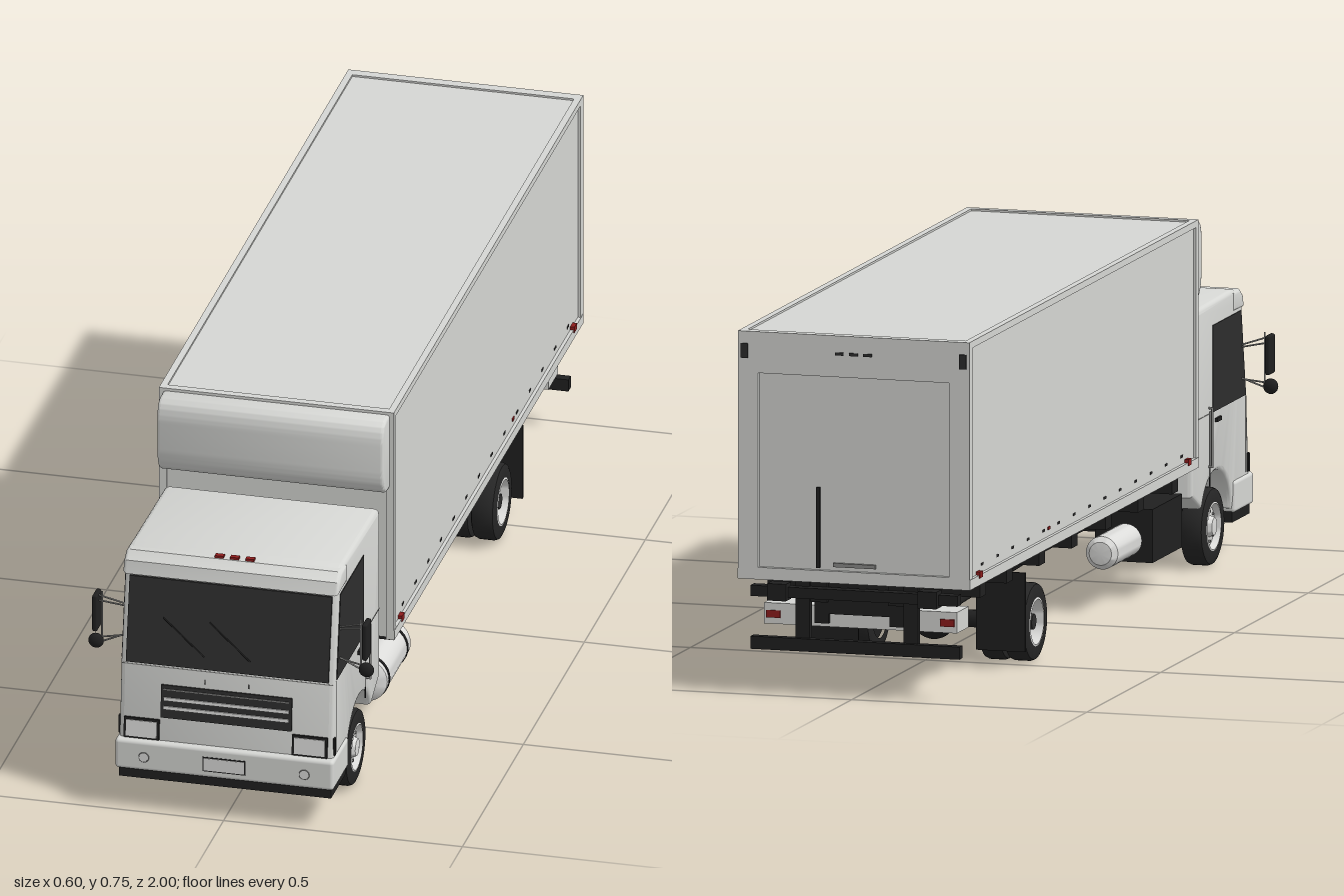
import * as THREE from 'three';
import { toCreasedNormals } from 'three/addons/utils/BufferGeometryUtils.js';
import { RoundedBoxGeometry } from 'three/addons/geometries/RoundedBoxGeometry.js';

const paint = (name, color) => {
  const m = new THREE.MeshStandardMaterial({ color });
  m.name = name;
  return m;
};

export function createModel() {
  const body = paint('body white', 0xd6d7d4);
  const metal = paint('bright metal', 0xdcdcda);
  const trim = paint('trim grey', 0x8c8c8a);
  const glass = paint('dark glass', 0x2d2d2d);
  const black = paint('chassis black', 0x202020);
  const rubber = paint('tyre rubber', 0x262626);
  const red = paint('marker red', 0x8e1c1c);

  const truck = new THREE.Group();
  truck.name = 'boxTruck';
  const group = (name, parent = truck) => {
    const g = new THREE.Group();
    g.name = name;
    parent.add(g);
    return g;
  };
  const add = (parent, name, geo, mat, x = 0, y = 0, z = 0) => {
    const m = new THREE.Mesh(geo, mat);
    m.name = name;
    m.position.set(x, y, z);
    parent.add(m);
    return m;
  };
  // Box given by its limits on each axis, optionally rounded
  const box = (parent, name, mat, x0, x1, y0, y1, z0, z1, r = 0) => {
    const s = [Math.abs(x1 - x0), y1 - y0, Math.abs(z1 - z0)];
    const geo = r ? new RoundedBoxGeometry(...s, 3, r) : new THREE.BoxGeometry(...s);
    return add(parent, name, geo, mat, (x0 + x1) / 2, (y0 + y1) / 2, (z0 + z1) / 2);
  };
  // Side profile drawn in (z, y), extruded across x
  const across = (shape, width, bevel = 0) => {
    const geo = new THREE.ExtrudeGeometry(shape, {
      depth: width - 2 * bevel, bevelEnabled: bevel > 0, bevelSize: bevel,
      bevelThickness: bevel, bevelOffset: -bevel, bevelSegments: 3, curveSegments: 16,
    });
    geo.translate(0, 0, bevel - width / 2);
    geo.rotateY(-Math.PI / 2);
    return toCreasedNormals(geo, 0.6);
  };
  const poly = (pts) => new THREE.Shape(pts.map((p) => new THREE.Vector2(...p)));
  const lathe = (pts, seg = 32) =>
    toCreasedNormals(new THREE.LatheGeometry(pts.map((p) => new THREE.Vector2(...p)), seg), 0.6);
  const rod = (parent, name, mat, a, b, r) => {
    const path = new THREE.LineCurve3(new THREE.Vector3(...a), new THREE.Vector3(...b));
    return add(parent, name, new THREE.TubeGeometry(path, 1, r, 10), mat);
  };
  const sides = [1, -1];

  // Cab shell with wheel arches
  const cab = group('cab');
  const s = new THREE.Shape();
  s.moveTo(0.594, 0.165);
  s.lineTo(0.594, 0.53);
  s.quadraticCurveTo(0.595, 0.543, 0.61, 0.544);
  s.lineTo(0.87, 0.549);
  s.quadraticCurveTo(0.93, 0.548, 0.936, 0.5);
  s.lineTo(0.968, 0.318);
  s.lineTo(0.982, 0.155);
  s.lineTo(0.982, 0.1);
  s.lineTo(0.864, 0.1);
  s.absarc(0.76, 0.09, 0.105, 0.1, Math.PI - 0.4, false);
  add(cab, 'cabShell', across(s, 0.448, 0.01), body);
  const visor = poly([[0.87, 0.503], [0.87, 0.545], [0.915, 0.545], [0.936, 0.53], [0.943, 0.503]]);
  add(cab, 'roofVisor', across(visor, 0.452, 0.008), body);
  for (const x of [-0.032, 0, 0.032]) box(cab, 'roofLight', red, x - 0.009, x + 0.009, 0.544, 0.55, 0.9, 0.912);

  // Windshield and wipers
  add(cab, 'windshield', across(poly([[0.965, 0.32], [0.972, 0.32], [0.941, 0.499], [0.934, 0.499]]), 0.424), glass);
  for (const x of [-0.137, -0.04])
    rod(cab, 'wiper', black, [x, 0.42, 0.957], [x + 0.088, 0.347, 0.969], 0.0015);

  // Details on the sloped front panel
  const front = group('frontPanel', cab);
  front.position.set(0, 0.155, 0.982);
  front.rotation.x = -0.086;
  const panel = (name, mat, x0, x1, y0, y1, d) =>
    box(front, name, mat, x0, x1, y0 - 0.155, y1 - 0.155, -0.002, d);
  panel('grille', glass, -0.137, 0.137, 0.207, 0.278, 0.004);
  for (const y of [0.226, 0.245]) panel('grilleSlat', metal, -0.131, 0.131, y, y + 0.007, 0.007);
  panel('grilleTopLine', trim, -0.131, 0.131, 0.268, 0.27, 0.006);
  panel('panelSeam', trim, -0.22, 0.22, 0.314, 0.316, 0.0005);
  for (const k of sides) {
    panel('headlightFrame', black, k * 0.139, k * 0.213, 0.157, 0.201, 0.005);
    panel('headlight', metal, k * 0.144, k * 0.208, 0.161, 0.196, 0.007);
    panel('wiperPivot', trim, k * 0.046 - 0.001, k * 0.046 + 0.001, 0.289, 0.297, 0.004);
  }

  // Bumper with plate, fog lights and lower skirt
  box(cab, 'bumper', body, -0.229, 0.229, 0.09, 0.156, 0.868, 0.997, 0.008);
  box(cab, 'bumperSkirt', black, -0.222, 0.222, 0.07, 0.094, 0.87, 0.988);
  box(cab, 'plateFrame', black, -0.045, 0.045, 0.105, 0.137, 0.99, 0.998);
  box(cab, 'plate', metal, -0.0425, 0.0425, 0.1075, 0.1345, 0.99, 0.999);
  for (const k of sides) {
    const rim = new THREE.TorusGeometry(0.01, 0.0013, 8, 24);
    add(cab, 'fogLightRim', rim, trim, k * 0.168, 0.121, 0.997);
    const lens = new THREE.CircleGeometry(0.01, 24);
    add(cab, 'fogLight', lens, metal, k * 0.168, 0.121, 0.998);
  }

  // Doors: windows, seams, handles and mirrors
  for (const k of sides) {
    const side = group(k > 0 ? 'leftDoor' : 'rightDoor', cab);
    const pane = across(poly([[0.73, 0.32], [0.953, 0.32], [0.922, 0.499], [0.73, 0.499]]), 0.004);
    add(side, 'sideWindow', pane, glass, k * 0.2235);
    const plate = (name, mat, z0, z1, y0, y1, d = 0.0008) =>
      box(side, name, mat, k * 0.222, k * (0.224 + d), y0, y1, z0, z1);
    plate('doorSeam', black, 0.712, 0.7145, 0.17, 0.325);
    plate('waistSeam', trim, 0.6, 0.712, 0.319, 0.321);
    plate('doorFrontSeam', trim, 0.955, 0.957, 0.16, 0.318);
    plate('sideLamp', black, 0.966, 0.974, 0.16, 0.198, 0.003);
    plate('doorHandle', black, 0.748, 0.78, 0.297, 0.305, 0.005);
    rod(side, 'grabHandle', trim, [k * 0.232, 0.21, 0.705], [k * 0.232, 0.335, 0.705], 0.0025);
    for (const y of [0.212, 0.333]) rod(side, 'grabMount', trim, [k * 0.22, y, 0.705], [k * 0.233, y, 0.705], 0.0025);

    const mirror = group('mirror', side);
    box(mirror, 'mirrorHead', black, k * 0.277, k * 0.288, 0.369, 0.45, 0.915, 0.953, 0.004);
    const spot = add(mirror, 'spotMirror', new THREE.SphereGeometry(0.016, 20, 12), black, k * 0.283, 0.343, 0.937);
    spot.scale.z = 0.6;
    rod(mirror, 'mirrorPost', trim, [k * 0.271, 0.345, 0.935], [k * 0.271, 0.455, 0.935], 0.002);
    for (const [a, b] of [[0.425, 0.445], [0.358, 0.35]])
      for (const dy of [0, -0.012])
        rod(mirror, 'mirrorArm', trim, [k * 0.218, a + dy * Math.sign(b - a) * 0.3, 0.925], [k * 0.279, b + dy, 0.935], 0.0018);
  }

  // Cargo box with raised edge rails
  const cargo = group('cargoBox');
  box(cargo, 'cargoBody', body, -0.24, 0.24, 0.238, 0.741, -0.977, 0.562);
  for (const k of sides) {
    box(cargo, 'topRail', body, k * 0.232, k * 0.246, 0.731, 0.745, -0.985, 0.567);
    box(cargo, 'bottomRail', body, k * 0.232, k * 0.247, 0.235, 0.256, -0.985, 0.567);
    box(cargo, 'frontPost', body, k * 0.23, k * 0.246, 0.235, 0.745, 0.55, 0.567);
    box(cargo, 'rearPost', body, k * 0.203, k * 0.246, 0.235, 0.745, -0.987, -0.965);
    for (const z of [0.5, -0.913]) box(cargo, 'sideMarker', red, k * 0.24, k * 0.249, 0.25, 0.263, z - 0.01, z + 0.01);
    box(cargo, 'middleMarker', red, k * 0.235, k * 0.2425, 0.27, 0.276, -0.438, -0.424);
    for (let i = 0; i < 14; i++) {
      const z = 0.47 - i * 0.104;
      box(cargo, 'railRivet', glass, k * 0.235, k * 0.241, 0.27, 0.275, z - 0.007, z + 0.007);
    }
    box(cargo, 'rearCornerLight', glass, k * 0.225, k * 0.24, 0.69, 0.72, -0.99, -0.98);
  }
  box(cargo, 'frontTopRail', body, -0.24, 0.24, 0.731, 0.745, 0.55, 0.567);
  box(cargo, 'rearHeader', body, -0.24, 0.24, 0.66, 0.745, -0.987, -0.965);
  box(cargo, 'rearSill', body, -0.24, 0.24, 0.235, 0.26, -0.987, -0.965);
  for (const x of [-0.03, 0, 0.03]) box(cargo, 'headerLight', glass, x - 0.009, x + 0.009, 0.705, 0.711, -0.99, -0.98);
  box(cargo, 'doorStrap', black, 0.073, 0.081, 0.265, 0.43, -0.985, -0.975);
  box(cargo, 'doorLatch', trim, -0.045, 0.045, 0.268, 0.276, -0.984, -0.975);

  // Rounded wind fairing above the cab
  const f = new THREE.Shape();
  f.moveTo(0.56, 0.575);
  f.lineTo(0.585, 0.575);
  f.bezierCurveTo(0.61, 0.578, 0.621, 0.605, 0.621, 0.64);
  f.lineTo(0.621, 0.69);
  f.bezierCurveTo(0.621, 0.72, 0.612, 0.738, 0.59, 0.739);
  f.lineTo(0.56, 0.739);
  add(cargo, 'windFairing', across(f, 0.474, 0.006), body);

  // Chassis rails, crossmembers and driveline
  const chassis = group('chassis');
  box(chassis, 'frameCore', black, -0.07, 0.07, 0.165, 0.236, -0.95, 0.54);
  for (const k of sides) {
    box(chassis, 'frameRail', black, k * 0.065, k * 0.095, 0.145, 0.192, -0.95, 0.87);
    box(chassis, 'floorSill', black, k * 0.065, k * 0.11, 0.19, 0.237, -0.96, 0.545);
    box(chassis, 'mudFlap', black, k * 0.125, k * 0.23, 0.037, 0.2, -0.557, -0.551);
    box(chassis, 'bumperHanger', black, k * 0.1, k * 0.13, 0.09, 0.237, -0.966, -0.95);
    box(chassis, 'dockBumper', black, k * 0.14, k * 0.18, 0.195, 0.23, -1, -0.965);
    box(chassis, 'rearLamp', red, k * 0.17, k * 0.2, 0.15, 0.165, -0.943, -0.938);
  }
  for (const z of [0.47, 0.24, 0.02, -0.21, -0.43, -0.65, -0.83])
    box(chassis, 'crossmember', black, -0.226, 0.226, 0.197, 0.237, z - 0.02, z + 0.02);
  box(chassis, 'rearStep', black, -0.22, 0.22, 0.2, 0.222, -0.985, -0.96);
  box(chassis, 'rearCrossBox', body, -0.205, 0.205, 0.137, 0.18, -0.94, -0.86);
  box(chassis, 'rearBumper', black, -0.222, 0.222, 0.09, 0.116, -0.978, -0.958);
  rod(chassis, 'driveshaft', black, [0, 0.11, 0.6], [0, 0.083, -0.43], 0.01);
  box(chassis, 'engine', black, -0.06, 0.06, 0.085, 0.17, 0.6, 0.86);
  rod(chassis, 'frontAxle', black, [-0.17, 0.08, 0.76], [0.17, 0.08, 0.76], 0.014);
  rod(chassis, 'rearAxle', black, [-0.19, 0.08, -0.44], [0.19, 0.08, -0.44], 0.018);
  add(chassis, 'differential', new THREE.SphereGeometry(0.046, 20, 14), black, 0, 0.08, -0.44);

  // Fuel tank on the left; battery box and muffler on the right
  const drum = (name, r, len, x, y, z) => {
    const h = len / 2;
    const pts = [[0, -h], [r * 0.7, -h + 0.003], [r, -h + 0.014], [r, h - 0.014], [r * 0.7, h - 0.003], [0, h]];
    add(chassis, name, lathe(pts), metal, x, y, z).rotation.x = Math.PI / 2;
  };
  drum('fuelTank', 0.048, 0.22, 0.17, 0.112, 0.415);
  for (const z of [0.345, 0.495]) {
    const strap = new THREE.CylinderGeometry(0.0495, 0.0495, 0.008, 32);
    add(chassis, 'tankStrap', strap, black, 0.17, 0.112, z).rotation.x = Math.PI / 2;
  }
  drum('muffler', 0.034, 0.19, -0.17, 0.122, 0.235);
  box(chassis, 'batteryBox', black, -0.222, -0.1, 0.075, 0.185, 0.33, 0.53);

  // Wheels: single at the front, dual at the rear
  const tyre = lathe([[0.05, -0.025], [0.07, -0.025], [0.077, -0.022], [0.08, -0.015], [0.08, 0.015],
    [0.077, 0.022], [0.07, 0.025], [0.05, 0.025]], 40);
  const dish = lathe([[0.052, 0.024], [0.047, 0.026], [0.043, 0.012], [0.022, 0.016], [0.018, 0.026], [0, 0.028]]);
  const deepDish = lathe([[0.052, 0.024], [0.046, 0.026], [0.042, -0.008], [0.02, -0.01]]);
  const wheel = (name, x, z, k, rear) => {
    const w = group(name);
    w.position.set(k * x, 0.08, z);
    w.rotation.z = -k * Math.PI / 2;
    add(w, 'tyre', tyre, rubber);
    add(w, 'rim', rear ? deepDish : dish, metal);
    add(w, 'rimBack', new THREE.CylinderGeometry(0.052, 0.052, 0.008, 32), black, 0, -0.014, 0);
    if (rear) add(w, 'hub', new THREE.CylinderGeometry(0.016, 0.021, 0.034, 20), glass, 0, 0.002, 0);
    for (let i = 0; i < 8; i++) {
      const a = i * Math.PI / 4;
      const nut = new THREE.CylinderGeometry(0.003, 0.003, 0.006, 6);
      add(w, 'wheelNut', nut, trim, Math.cos(a) * 0.031, rear ? -0.006 : 0.015, Math.sin(a) * 0.031);
    }
  };
  for (const k of sides) {
    wheel('frontWheel', 0.193, 0.76, k, false);
    wheel('rearOuterWheel', 0.193, -0.44, k, true);
    wheel('rearInnerWheel', 0.14, -0.44, k, true);
  }
  return truck;
}
